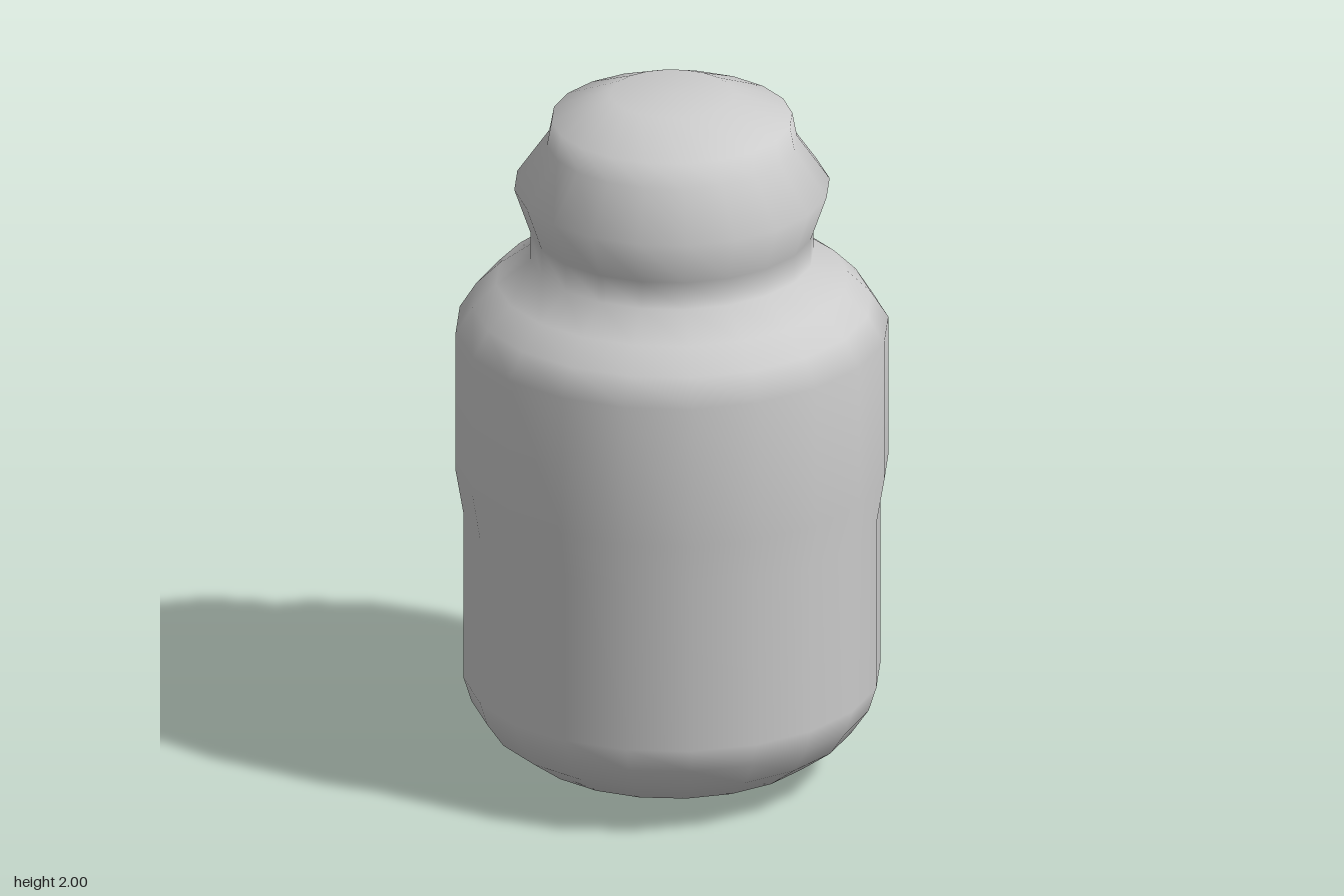
import * as THREE from 'three';

const SIDES = 20;

// Outline of the jar from the centre of the base up to the centre of the lid: [radius, height]
const OUTLINE = [
  // rounded base
  [0, 0], [0.17, 0], [0.41, 0.07], [0.505, 0.14], [0.553, 0.21], [0.575, 0.28],
  // wall, with a slightly wider upper half
  [0.575, 0.77], [0.597, 0.9], [0.597, 1.31],
  // shoulder and neck
  [0.55, 1.385], [0.485, 1.45], [0.39, 1.52], [0.39, 1.6],
  // flared collar and domed lid
  [0.435, 1.73], [0.345, 1.86], [0.332, 1.93], [0.17, 2], [0, 2],
];

export function createModel() {
  const group = new THREE.Group();
  group.name = 'jar';

  const grey = new THREE.MeshStandardMaterial({ color: 0xcccccc });
  grey.name = 'grey';

  // Body and lid are one continuous smooth surface
  const points = OUTLINE.map(([r, y]) => new THREE.Vector2(r, y));
  const jar = new THREE.Mesh(new THREE.LatheGeometry(points, SIDES), grey);
  jar.name = 'bodyAndLid';
  group.add(jar);

  return group;
}
